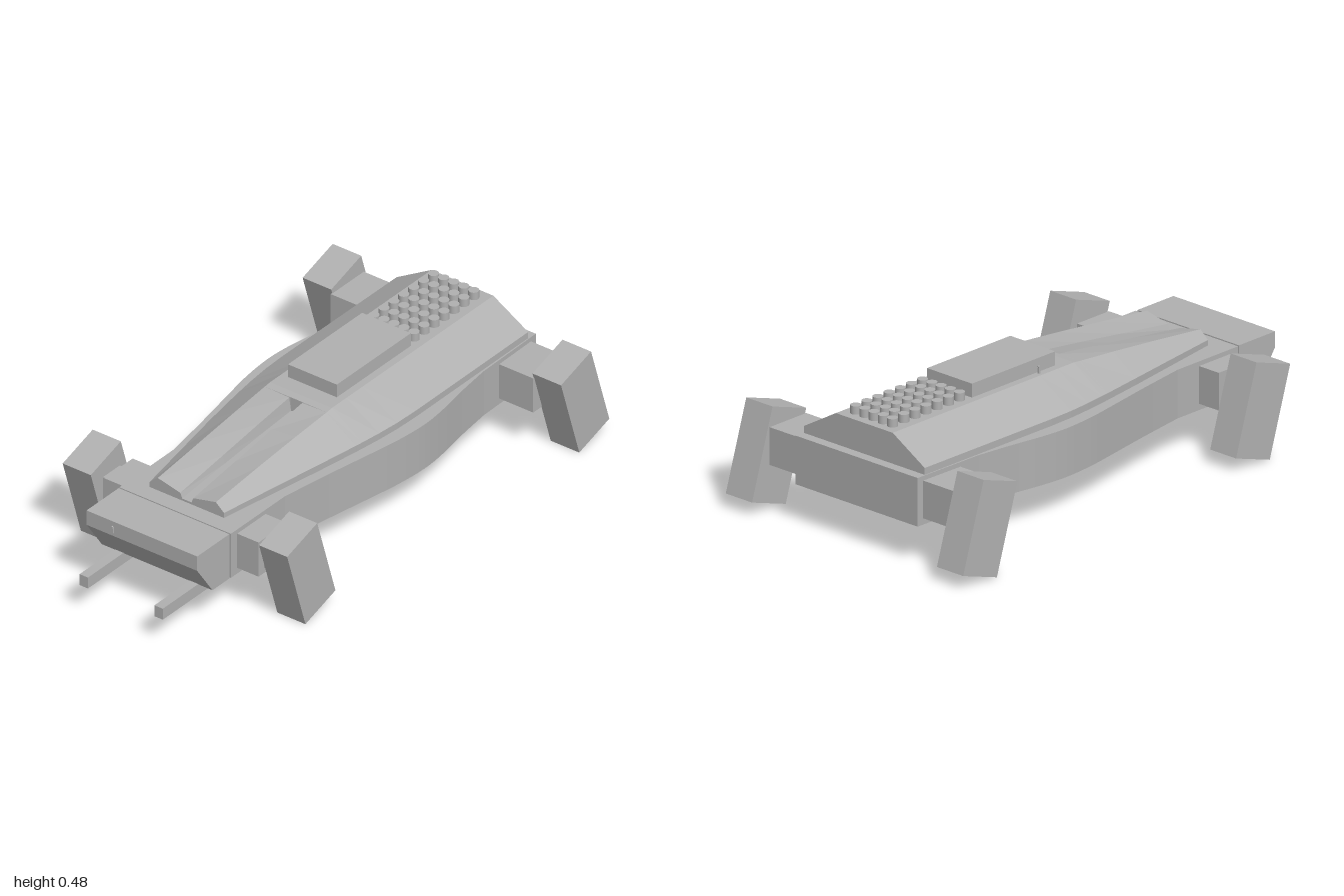
import * as THREE from 'three';

const grey = new THREE.MeshStandardMaterial({ color: 0xb0b0b0 });
grey.name = 'hull grey';

export function createModel() {
  const model = new THREE.Group();
  model.name = 'walkerVehicle';

  const add = (name, geometry, x = 0, y = 0, z = 0) => {
    const mesh = new THREE.Mesh(geometry, grey);
    mesh.name = name;
    mesh.position.set(x, y, z);
    model.add(mesh);
    return mesh;
  };
  // box given by its extents
  const box = (name, x0, x1, y0, y1, z0, z1) =>
    add(name, new THREE.BoxGeometry(x1 - x0, y1 - y0, z1 - z0), (x0 + x1) / 2, (y0 + y1) / 2, (z0 + z1) / 2);

  // lower hull: plan outline with bulging flanks
  const flank = new THREE.SplineCurve([
    [-0.4, 0.24], [-0.2, 0.272], [0, 0.308], [0.12, 0.328], [0.25, 0.338], [0.36, 0.33], [0.5, 0.308], [0.64, 0.291],
  ].map(p => new THREE.Vector2(...p))).getPoints(28);
  const half = [new THREE.Vector2(-0.7, 0.24), ...flank, new THREE.Vector2(0.935, 0.286)];
  const outline = [...half.map(p => new THREE.Vector2(p.x, -p.y)), ...half.slice().reverse()];
  const hull = new THREE.ExtrudeGeometry(new THREE.Shape(outline), { depth: 0.178, bevelEnabled: false });
  hull.rotateX(-Math.PI / 2);
  add('hull', hull, 0, 0.147, 0);

  // wedge nose
  const nose = new THREE.Shape([[-0.706, 0.147], [-0.706, 0.326], [-0.885, 0.326], [-0.885, 0.268], [-0.8, 0.147]]
    .map(p => new THREE.Vector2(...p)));
  add('nose', new THREE.ExtrudeGeometry(nose, { depth: 0.476, bevelEnabled: false }), 0, 0, -0.238);

  // upper deck: lofted along x, with a slotted trough in its fore part
  // stations: x, base half width, lip height, top half width, top height, trough dip, slot depth
  const stations = [
    [-0.635, 0.16, 0.345, 0.125, 0.375, 0.022, 0.02],
    [-0.4, 0.2, 0.348, 0.127, 0.4, 0.016, 0.03],
    [-0.2, 0.234, 0.35, 0.13, 0.42, 0.009, 0.04],
    [-0.03, 0.26, 0.35, 0.133, 0.435, 0.003, 0.05],
    [-0.029, 0.26, 0.35, 0.133, 0.435, 0, 0],
    [0, 0.264, 0.35, 0.133, 0.438, 0, 0],
    [0.08, 0.274, 0.35, 0.133, 0.438, 0, 0],
    [0.17, 0.282, 0.35, 0.133, 0.438, 0, 0],
    [0.27, 0.285, 0.35, 0.133, 0.438, 0, 0],
    [0.897, 0.283, 0.35, 0.133, 0.438, 0, 0],
  ];
  const rings = stations.map(([x, w, lip, t, top, dip, slot]) => {
    const right = [[0.322, w], [lip, w], [top, t], [top - dip, 0.028], [top - dip - slot, 0.02]];
    const ring = [...right.map(([y, z]) => [y, -z]), ...right.slice().reverse()];
    return ring.map(([y, z]) => new THREE.Vector3(x, y, z));
  });
  const pos = [];
  const tri = (...pts) => pts.forEach(p => pos.push(p.x, p.y, p.z));
  for (let i = 0; i < rings.length - 1; i++) {
    const A = rings[i], B = rings[i + 1];
    A.forEach((a, j) => {
      const k = (j + 1) % A.length;
      tri(a, A[k], B[k]);
      tri(a, B[k], B[j]);
    });
  }
  const cap = (ring, flip) => {
    const flat = ring.map(p => new THREE.Vector2(p.y, p.z));
    const up = THREE.ShapeUtils.area(flat) > 0;
    for (const f of THREE.ShapeUtils.triangulateShape(flat, [])) {
      const [a, b, c] = f.map(n => ring[n]);
      const ccw = (b.y - a.y) * (c.z - a.z) - (b.z - a.z) * (c.y - a.y) > 0;
      if (ccw !== flip) tri(a, b, c); else tri(a, c, b);
    }
    return up;
  };
  // keep the skin facing outward whichever way the rings run
  const ccwRings = THREE.ShapeUtils.area(rings[0].map(p => new THREE.Vector2(p.y, p.z))) > 0;
  if (!ccwRings) {
    for (let i = 0; i < pos.length; i += 9) {
      for (let k = 0; k < 3; k++) [pos[i + 3 + k], pos[i + 6 + k]] = [pos[i + 6 + k], pos[i + 3 + k]];
    }
  }
  cap(rings[0], true);
  cap(rings[rings.length - 1], false);
  const deck = new THREE.BufferGeometry();
  deck.setAttribute('position', new THREE.Float32BufferAttribute(pos, 3));
  deck.computeVertexNormals();
  add('upperDeck', deck);

  // raised hatch and the field of launch tubes behind it
  box('deckHatch', 0.063, 0.475, 0.43, 0.489, -0.105, 0.105);
  const tube = new THREE.CylinderGeometry(0.019, 0.019, 0.036, 20);
  for (let i = 0; i < 7; i++) {
    for (let j = -2; j <= 2; j++) add('launchTube', tube, 0.517 + i * 0.0552, 0.45, j * 0.0432);
  }

  // belly pods in two rows of three
  for (const x of [-0.26, 0.058]) {
    for (const z of [-0.056, 0.036, 0.128]) box('bellyPod', x, x + 0.292, 0.084, 0.15, z, z + 0.075);
  }

  // legs, axles and front prongs on both sides
  const legTilt = 0.305;
  for (const s of [1, -1]) {
    const sideBox = (name, x0, x1, y0, y1, z0, z1) =>
      box(name, x0, x1, y0, y1, Math.min(s * z0, s * z1), Math.max(s * z0, s * z1));
    const leg = (name, x, z0, z1) => {
      const m = add(name, new THREE.BoxGeometry(0.175, 0.338, z1 - z0), x, 0.192, s * (z0 + z1) / 2);
      m.rotation.z = legTilt;
    };
    leg('noseLeg', -0.567, 0.362, 0.483);
    leg('tailLeg', 0.861, 0.433, 0.556);
    sideBox('noseAxle', -0.665, -0.507, 0.17, 0.308, 0.22, 0.332);
    sideBox('noseAxlePin', -0.634, -0.54, 0.19, 0.285, 0.33, 0.365);
    sideBox('tailAxle', 0.727, 0.908, 0.17, 0.308, 0.27, 0.436);
    sideBox('frontProng', -1, -0.735, 0.106, 0.15, 0.143, 0.179);
  }

  // tiny crew figures for scale
  for (const [x, y] of [[-0.9, 0.29], [0.155, 0.438]]) {
    box('crewBody', x - 0.003, x + 0.003, y, y + 0.022, -0.12, -0.111);
    add('crewHead', new THREE.SphereGeometry(0.004, 8, 6), x, y + 0.025, -0.1155);
  }
  return model;
}
